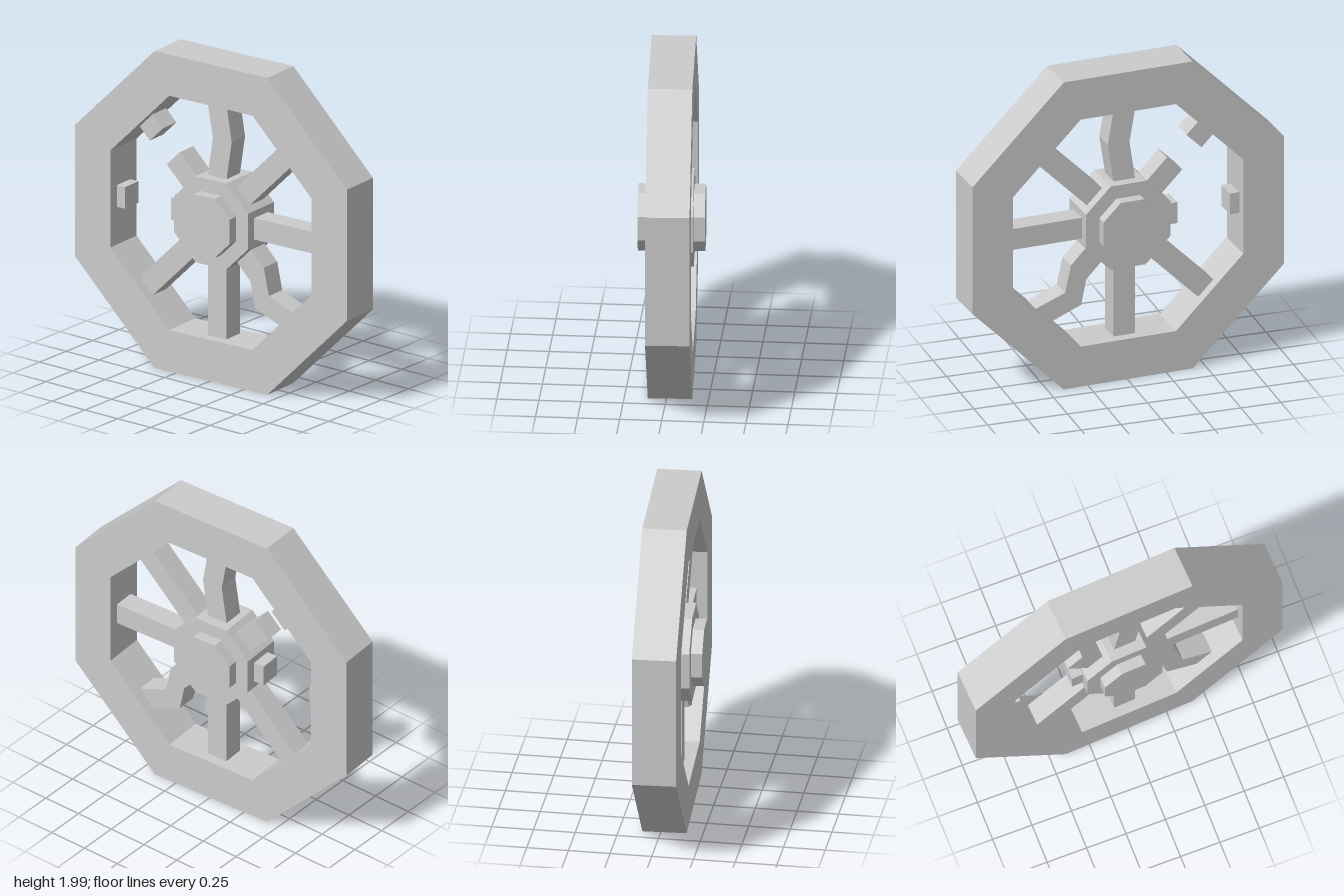
import * as THREE from 'three';

const material = new THREE.MeshStandardMaterial({ color: 0xcccccc, flatShading: true });
const RIM_DEPTH = 0.264, SPOKE = 0.135;
const HUB = 0.27, RIM_INNER = 0.735, RIM_OUTER = 0.994;

// Octagon corners, flat sides facing the axes, sized by the centre-to-side distance
function octagon(apothem) {
  const r = apothem / Math.cos(Math.PI / 8);
  return Array.from({ length: 8 }, (_, i) => {
    const a = (i + 0.5) * Math.PI / 4;
    return new THREE.Vector2(r * Math.cos(a), r * Math.sin(a));
  });
}

// Flat outline extruded evenly about z = 0
function slab(name, points, depth, hole) {
  const shape = new THREE.Shape(points);
  if (hole) shape.holes.push(new THREE.Path(hole));
  const geometry = new THREE.ExtrudeGeometry(shape, { depth, bevelEnabled: false });
  geometry.translate(0, 0, -depth / 2);
  const mesh = new THREE.Mesh(geometry, material);
  mesh.name = name;
  return mesh;
}

// Straight square bar from radius r0 to r1 at an angle in degrees
function bar(name, degrees, r0, r1) {
  const geometry = new THREE.BoxGeometry(r1 - r0, SPOKE, SPOKE);
  geometry.translate((r0 + r1) / 2, 0, 0);
  const mesh = new THREE.Mesh(geometry, material);
  mesh.rotation.z = THREE.MathUtils.degToRad(degrees);
  mesh.name = name;
  return mesh;
}

export function createModel() {
  const model = new THREE.Group();
  model.name = 'brokenWheel';
  const wheel = new THREE.Group();
  wheel.name = 'wheel';
  wheel.position.y = RIM_OUTER;
  wheel.rotation.y = 0.053; // the wheel stands slightly turned
  model.add(wheel);

  // Rim, hub and axle cap
  wheel.add(slab('rim', octagon(RIM_OUTER), RIM_DEPTH, octagon(RIM_INNER).reverse()));
  wheel.add(slab('hub', octagon(HUB), RIM_DEPTH));
  wheel.add(slab('axle', octagon(0.185), 0.4));

  // Whole spokes
  for (const angle of [0, 45, 225, 270]) {
    wheel.add(bar('spoke', angle, HUB - 0.03, RIM_INNER + 0.02));
  }

  // Snapped spokes: a stump on the hub and one on the rim
  for (const [angle, hubEnd, rimEnd] of [[135, 0.455, 0.63], [180, 0.34, 0.675]]) {
    wheel.add(bar('hubStump', angle, HUB - 0.03, hubEnd));
    wheel.add(bar('rimStump', angle, rimEnd, RIM_INNER + 0.02));
  }

  // Bent spokes, outlined in the wheel plane
  const bent = [
    ['bentTopSpoke', [[-0.072, 0.25], [0.065, 0.25], [0.105, 0.51], [0.064, 0.755], [-0.076, 0.755], [-0.033, 0.51]]],
    ['bentLowerSpoke', [[0.24, -0.125], [0.34, -0.23], [0.377, -0.4], [0.58, -0.48], [0.49, -0.583],
      [0.275, -0.495], [0.242, -0.335], [0.145, -0.235]]],
  ];
  for (const [name, points] of bent) {
    wheel.add(slab(name, points.map(([x, y]) => new THREE.Vector2(x, y)), SPOKE));
  }
  return model;
}
